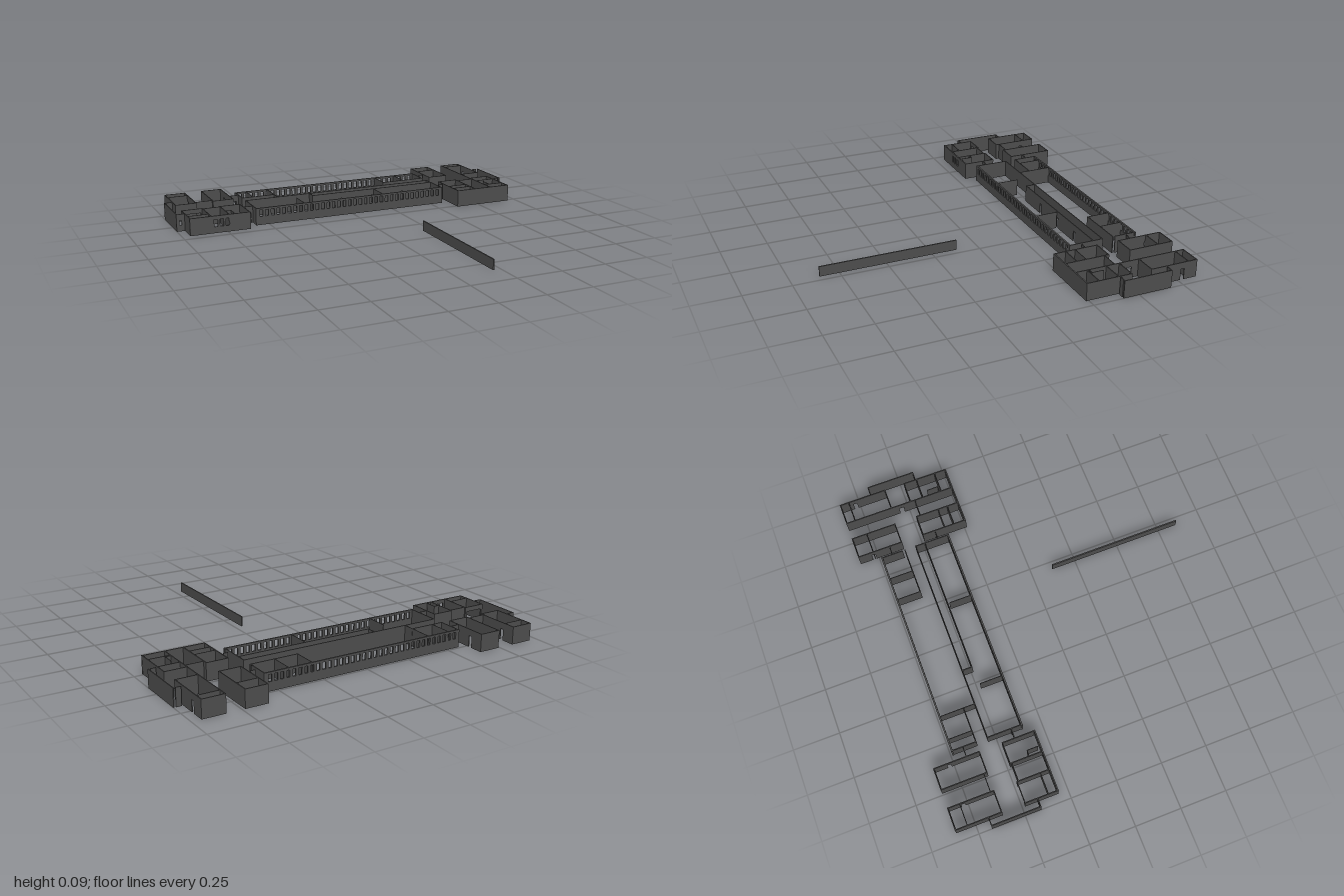
import * as THREE from 'three';

const H = 0.095, THICK = 0.009, THIN = 0.005;
const material = new THREE.MeshStandardMaterial({ color: 0x4c4c4c });

// Straight upright wall from (x1,z1) to (x2,z2).
// Openings are [start, end, bottom, top] along its length; bottom 0 makes a doorway.
function wall(parent, name, [x1, z1, x2, z2], { t = THIN, h = H, openings = [] } = {}) {
  const len = Math.hypot(x2 - x1, z2 - z1), e = t / 2;
  const shape = new THREE.Shape();
  shape.moveTo(-e, 0);
  for (const [a, b, y0, y1] of openings) {
    if (y0 > 0) {
      const hole = new THREE.Path();
      hole.moveTo(a, y0).lineTo(a, y1).lineTo(b, y1).lineTo(b, y0).closePath();
      shape.holes.push(hole);
    } else shape.lineTo(a, 0).lineTo(a, y1).lineTo(b, y1).lineTo(b, 0);
  }
  shape.lineTo(len + e, 0).lineTo(len + e, h).lineTo(-e, h).closePath();
  const geo = new THREE.ExtrudeGeometry(shape, { depth: t, bevelEnabled: false });
  geo.translate(0, 0, -t / 2);
  geo.rotateY(Math.atan2(z1 - z2, x2 - x1));
  geo.translate(x1, 0, z1);
  const mesh = new THREE.Mesh(geo, material);
  mesh.name = name;
  parent.add(mesh);
}

// Evenly spaced openings between two distances
const row = (n, from, to, width, y0, y1) => Array.from({ length: n }, (_, i) => {
  const c = from + (to - from) * (i + 0.5) / n;
  return [c - width / 2, c + width / 2, y0, y1];
});

// Four walls around a rectangular room, with a doorway in an optional side wall
function room(parent, name, x0, x1, z0, z1, { doorSide = null, doorAt = 0.07 } = {}) {
  const g = new THREE.Group();
  g.name = name;
  const door = side => doorSide === side ? { openings: [[doorAt, doorAt + 0.02, 0, 0.06]] } : {};
  wall(g, 'backWall', [x0, z0, x1, z0]);
  wall(g, 'frontWall', [x0, z1, x1, z1]);
  wall(g, 'rightSideWall', [x0, z0, x0, z1], door('right'));
  wall(g, 'leftSideWall', [x1, z0, x1, z1], door('left'));
  parent.add(g);
}

function group(parent, name) {
  const g = new THREE.Group();
  g.name = name;
  parent.add(g);
  return g;
}

export function createModel() {
  const model = new THREE.Group();
  model.name = 'buildingWalls';

  // Rear long wing
  const rear = group(model, 'rearWing');
  wall(rear, 'windowWall', [-0.571, -0.736, 0.567, -0.736],
    { t: THICK, openings: row(34, 0.01, 1.128, 0.018, 0.048, 0.084) });
  wall(rear, 'rightEndWall', [-0.571, -0.736, -0.571, -0.605]);
  wall(rear, 'leftEndWall', [0.567, -0.736, 0.567, -0.62]);
  wall(rear, 'rightCorridorWall', [-0.571, -0.605, -0.381, -0.605]);
  wall(rear, 'leftCorridorWall', [0.308, -0.605, 0.567, -0.605]);
  for (const x of [-0.509, -0.381, 0.308, 0.436])
    wall(rear, 'partition', [x, -0.736, x, -0.605], { t: 0.003 });
  wall(rear, 'corridorPartition', [-0.381, -0.605, -0.381, -0.543], { t: 0.003 });

  // Front long wing
  const front = group(model, 'frontWing');
  wall(front, 'windowWall', [-0.571, -0.356, 0.567, -0.356],
    { t: THICK, openings: row(34, 0.01, 1.128, 0.018, 0.048, 0.084) });
  wall(front, 'corridorWall', [-0.571, -0.543, 0.567, -0.543]);
  wall(front, 'rightEndWall', [-0.571, -0.543, -0.571, -0.356]);
  wall(front, 'leftEndWall', [0.567, -0.543, 0.567, -0.356]);
  wall(front, 'innerReturn', [-0.189, -0.543, -0.189, -0.49]);
  wall(front, 'innerWall', [-0.189, -0.49, 0.567, -0.49],
    { openings: [0.18, 0.375, 0.563].map(a => [a - 0.008, a + 0.008, 0, 0.06]) });
  for (const x of [-0.29, 0.19])
    wall(front, 'partition', [x, -0.48, x, -0.356], { t: 0.003 });

  // Right end block
  const right = group(model, 'rightEndBlock');
  room(right, 'rearOuterRoom', -0.953, -0.838, -0.853, -0.607, { doorSide: 'left' });
  room(right, 'rearInnerRoom', -0.739, -0.625, -0.853, -0.607, { doorSide: 'left' });
  wall(right, 'rearOuterPartition', [-0.953, -0.79, -0.838, -0.79], { t: 0.003 });
  wall(right, 'rearLink', [-0.838, -0.624, -0.739, -0.624], { t: 0.003 });
  wall(right, 'frontLinkBack', [-0.838, -0.474, -0.739, -0.474]);
  wall(right, 'frontOuterRoomBack', [-0.953, -0.482, -0.838, -0.482],
    { openings: [[0.01, 0.105, 0, 0.07]] });
  wall(right, 'frontInnerRoomBack', [-0.739, -0.482, -0.625, -0.482]);
  for (const x of [-0.953, -0.838, -0.739, -0.625])
    wall(right, 'frontSideWall', [x, -0.482, x, -0.306]);
  wall(right, 'frontWall', [-0.953, -0.306, -0.625, -0.306],
    { t: 0.007, openings: row(3, 0.122, 0.22, 0.02, 0.035, 0.075) });
  wall(right, 'frontOuterPartition', [-0.953, -0.356, -0.838, -0.356], { t: 0.003 });
  wall(right, 'closetBack', [-0.739, -0.378, -0.707, -0.378], { t: 0.003 });
  wall(right, 'closetSide', [-0.707, -0.378, -0.707, -0.32], { t: 0.003 });

  // Left end block
  const left = group(model, 'leftEndBlock');
  room(left, 'rearInnerRoom', 0.618, 0.733, -0.853, -0.607, { doorSide: 'right' });
  wall(left, 'rearInnerPartition', [0.618, -0.77, 0.733, -0.77]);
  wall(left, 'outerRoomsInnerWall', [0.832, -0.853, 0.832, -0.239],
    { openings: [[0.3, 0.325, 0, 0.06]] });
  wall(left, 'outerRoomsRearWall', [0.949, -0.853, 0.949, -0.594],
    { openings: [[0.07, 0.09, 0, 0.06]] });
  wall(left, 'outerRoomsFrontWall', [0.949, -0.482, 0.949, -0.239]);
  for (const z of [-0.853, -0.805, -0.594, -0.482, -0.41, -0.303])
    wall(left, 'outerCrossWall', [0.832, z, 0.949, z]);
  for (const x of [0.618, 0.733])
    wall(left, 'frontSideWall', [x, -0.482, x, -0.239]);
  for (const z of [-0.482, -0.356, -0.303])
    wall(left, 'frontCrossWall', [0.618, z, 0.733, z], { t: z === -0.356 ? 0.003 : THIN });
  wall(left, 'frontLinkBack', [0.733, -0.458, 0.832, -0.458], { t: 0.003 });
  wall(left, 'frontWall', [0.618, -0.239, 0.949, -0.239], { t: 0.007 });
  wall(left, 'closetBack', [0.832, -0.313, 0.864, -0.313], { t: 0.003 });
  wall(left, 'closetSide', [0.864, -0.375, 0.864, -0.313], { t: 0.003 });

  // End walls and the short connecting walls at both corridor lines
  for (const x of [-0.9975, 0.9975])
    wall(model, 'endWall', [x, -0.677, x, -0.415]);
  for (const z of [-0.677, -0.415]) {
    wall(model, 'rightEndStub', [-0.998, z, -0.953, z], { openings: [[0.014, 0.026, 0.035, 0.06]] });
    wall(model, 'rightConnector', [-0.625, z, -0.571, z], { openings: [[0.014, 0.041, 0, 0.06]] });
    wall(model, 'leftConnector', [0.585, z, 0.605, z]);
    wall(model, 'leftEndStub', [0.962, z, 0.985, z]);
  }

  // Detached low wall in front
  wall(model, 'detachedWall', [0.21, 0.12, 0.21, 0.85], { t: 0.007, h: 0.055 });
  return model;
}
